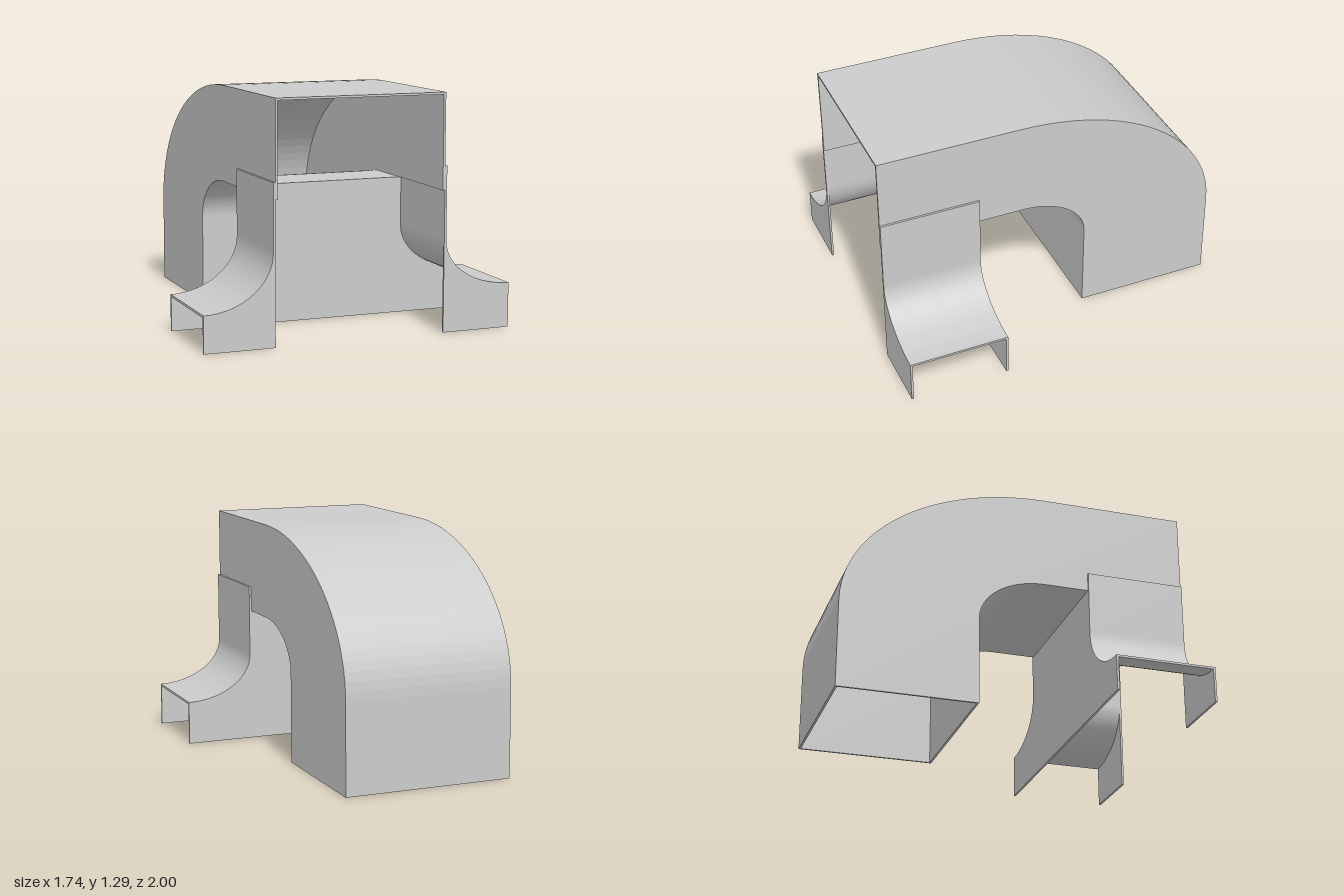
import * as THREE from 'three';

const T = 0.012;                    // sheet thickness
const HALF = 0.478, REACH = 0.868;  // duct half width, tip of the side flares
const FRONT = 0.985, PLATE = 0.42, BACK = -0.992, THROAT = -0.225;
const BEND = { z: 0.165, y: 0.5 };  // centre of the elbow
const TOP = 1.29, UNDER = 0.77;

// points along an elliptical arc
function arc(cx, cy, rx, ry, a0, a1, n = 24) {
  return Array.from({ length: n + 1 }, (_, i) => {
    const a = a0 + (a1 - a0) * i / n;
    return [cx + rx * Math.cos(a), cy + ry * Math.sin(a)];
  });
}

export function createModel() {
  const model = new THREE.Group();
  const duct = new THREE.Group();
  model.add(duct);
  const material = new THREE.MeshStandardMaterial({ color: 0xcccccc, side: THREE.DoubleSide });

  function extrude(name, points, depth) {
    const shape = new THREE.Shape(points.map(([x, y]) => new THREE.Vector2(x, y)));
    const mesh = new THREE.Mesh(
      new THREE.ExtrudeGeometry(shape, { depth, bevelEnabled: false }), material);
    mesh.name = name;
    duct.add(mesh);
    return mesh;
  }
  // outline in the xy plane, standing between z0 and z0 + depth
  function acrossFront(name, points, z0, depth) {
    extrude(name, points, depth).position.z = z0;
  }
  // outline given as (z, y), spanning x0 to x0 + depth
  function acrossSide(name, points, x0, depth) {
    const mesh = extrude(name, points, depth);
    mesh.rotation.y = -Math.PI / 2;
    mesh.position.x = x0 + depth;
  }
  // elbow curve from the level run (z = start) down to the ground, grown inward by d
  const elbow = (start, end, height, d = 0) => [
    [start, height - d],
    ...arc(BEND.z, BEND.y, BEND.z - end - d, height - d - BEND.y, Math.PI / 2, Math.PI),
    [end + d, 0],
  ];

  // curved outer and inner sheets of the duct
  const heel = [...elbow(FRONT, BACK, TOP), ...elbow(FRONT, BACK, TOP, T).reverse()];
  acrossSide('outerCurvedSheet', heel, -HALF, 2 * HALF);
  const throat = [...elbow(PLATE, THROAT, UNDER), ...elbow(PLATE, THROAT, UNDER, T).reverse()];
  acrossSide('innerCurvedSheet', throat, -HALF, 2 * HALF);

  // flat cheeks
  const cheek = [...elbow(FRONT, BACK, TOP), ...elbow(FRONT, THROAT, UNDER).reverse()];
  acrossSide('leftCheek', cheek, HALF - T, T);
  acrossSide('rightCheek', cheek, -HALF, T);

  // flared collars on both sides, the left one a little taller
  const flare = (s, tip, d = 0) =>
    arc(REACH, 0.5, REACH - HALF - T + d, 0.5 - tip + d, Math.PI, 1.5 * Math.PI)
      .map(([x, y]) => [s * x, y]);
  const sides = [
    { name: 'left', s: 1, tip: 0.245, top: 0.9 },
    { name: 'right', s: -1, tip: 0.2, top: 0.86 },
  ];
  for (const { name, s, tip, top } of sides) {
    acrossFront(name + 'FlareSheet', [
      [s * (HALF + T), top], ...flare(s, tip),
      ...flare(s, tip, T).reverse(), [s * HALF, top],
    ], PLATE, FRONT - PLATE);
    acrossFront(name + 'FrontGusset', [
      [s * HALF, 0], [s * HALF, 0.5], ...flare(s, tip), [s * REACH, 0],
    ], FRONT - T, T);
  }

  // full-width plate under the duct
  acrossFront('backPlate', [
    [-REACH, 0], ...flare(-1, sides[1].tip).reverse(), [-HALF, 0.5], [-HALF, UNDER],
    [HALF, UNDER], [HALF, 0.5], ...flare(1, sides[0].tip), [REACH, 0],
  ], PLATE, T);

  // slight turn of the whole piece
  duct.name = 'elbowDuct';
  duct.position.x = 0.008;
  duct.rotation.y = -0.016;
  return model;
}
